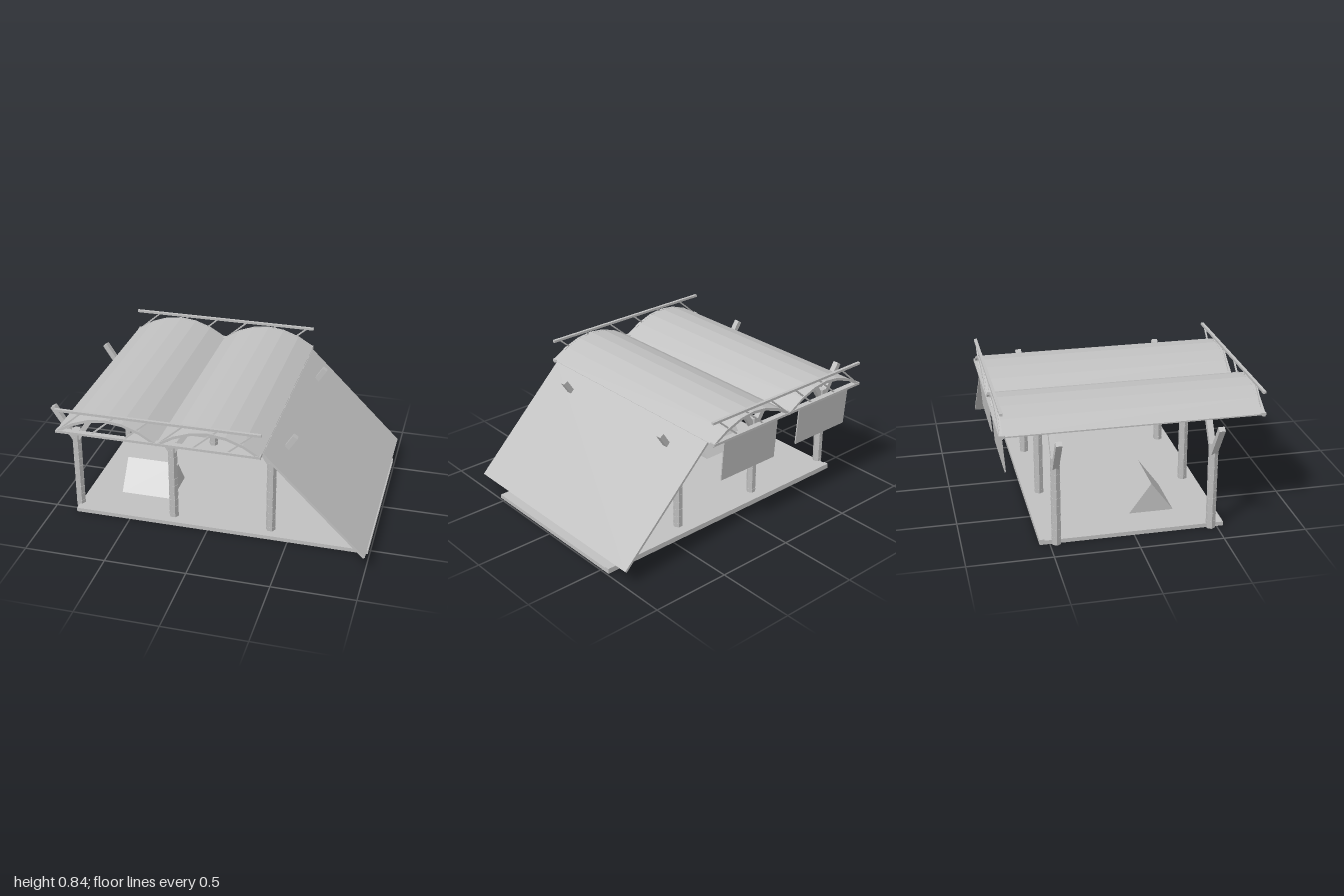
import * as THREE from 'three';

export function createModel() {
  const model = new THREE.Group();
  model.name = 'shelter';
  const grey = new THREE.MeshStandardMaterial({ color: 0xc0c0c0 });
  grey.name = 'plain grey';

  const add = (name, geometry, x = 0, y = 0, z = 0, parent = model) => {
    const mesh = new THREE.Mesh(geometry, grey);
    mesh.name = name;
    mesh.position.set(x, y, z);
    parent.add(mesh);
    return mesh;
  };
  const box = (name, w, h, d, x, y, z, parent) =>
    add(name, new THREE.BoxGeometry(w, h, d), x, y, z, parent);

  // Bar running between two points of the xy plane, depth along z
  const bar = (name, x1, y1, x2, y2, thick, depth, z, parent) => {
    const mesh = box(name, Math.hypot(x2 - x1, y2 - y1), thick, depth,
      (x1 + x2) / 2, (y1 + y2) / 2, z, parent);
    mesh.rotation.z = Math.atan2(y2 - y1, x2 - x1);
    return mesh;
  };

  // Outline in the xy plane, extruded symmetrically about z
  const prism = (points, depth) => {
    const shape = new THREE.Shape(points.map(([x, y]) => new THREE.Vector2(x, y)));
    return new THREE.ExtrudeGeometry(shape, { depth, bevelEnabled: false })
      .translate(0, 0, -depth / 2);
  };

  const left = -0.85, bay = 0.615, right = left + 2 * bay;
  const eaves = 0.70, rise = 0.11;

  // Floor with a raised lip along the back
  box('floor', 1.84, 0.025, 1.1, 0.07, 0.0125, -0.01);
  box('floorLip', 1.84, 0.033, 0.03, 0.07, 0.0165, -0.545);

  // Six hexagonal posts built from short drums, each with forked arms
  const drums = 11, drumHeight = 0.55 / drums;
  for (let i = 0; i < 3; i++) {
    for (const z of [-0.462, 0.462]) {
      const post = new THREE.Group();
      post.name = 'post';
      post.position.set(left + i * bay, 0, z);
      model.add(post);
      for (let k = 0; k < drums; k++) {
        const drum = new THREE.CylinderGeometry(0.03, 0.0285, drumHeight, 6)
          .toNonIndexed();
        drum.computeVertexNormals();
        add('postDrum', drum.rotateY(Math.PI / 6), 0, (k + 0.5) * drumHeight, 0, post);
      }
      for (const s of [-1, 1])
        bar('forkArm', s * 0.008, 0.49, s * 0.138, 0.692, 0.032, 0.036, 0, post);
    }
  }

  // Two faceted vaults; the same arc gives the sheet and its end ribs
  const arcBand = (x0, thick, lift) => {
    const top = [], bottom = [];
    for (let i = 0; i <= 6; i++) {
      const t = i / 3 - 1;
      const x = x0 + (i / 6) * bay, y = eaves + rise * (1 - t * t) + lift;
      top.push([x, y]);
      bottom.unshift([x, y - thick]);
    }
    return bottom.reverse().concat(top.reverse());
  };
  for (let i = 0; i < 2; i++) {
    const x0 = left + i * bay;
    add('roofVault', prism(arcBand(x0, 0.008, 0), 1.51));
    for (const z of [-0.757, 0.757])
      add('roofRib', prism(arcBand(x0, 0.018, 0.001), 0.018), 0, 0, z);
  }

  // End trusses: lower chord, upper rail and slanted struts
  for (const z of [-0.753, 0.753]) {
    const s = Math.sign(z);
    box('lowerChord', 2 * bay, 0.015, 0.035, (left + right) / 2, 0.6975, z);
    box('upperRail', 2 * bay, 0.015, 0.018, (left + right) / 2, 0.832, z);
    for (let i = 0; i < 6; i++) {
      const x = left + 0.015 + i * bay / 3;
      bar('strut', x, 0.703, x + 0.145, 0.83, 0.009, 0.009, z + s * 0.001);
    }
  }

  // Sloping side panel
  bar('slopingPanel', right, 0.697, 0.99, 0.094, 0.014, 1.44, 0);

  // Hanging screens at the back, tilted slightly inward
  for (const [x, low] of [[-0.545, 0.44], [0.07, 0.42]]) {
    const screen = box('hangingScreen', 0.43, 0.695 - low, 0.008,
      x, (0.695 + low) / 2, -0.74);
    screen.rotation.x = -0.075;
  }

  // Small tent on the floor, ridge along x
  const tent = add('tent',
    prism([[-0.135, 0], [0.135, 0], [0, 0.185]], 0.335), -0.4675, 0.025, 0.155);
  tent.rotation.y = Math.PI / 2;

  return model;
}
